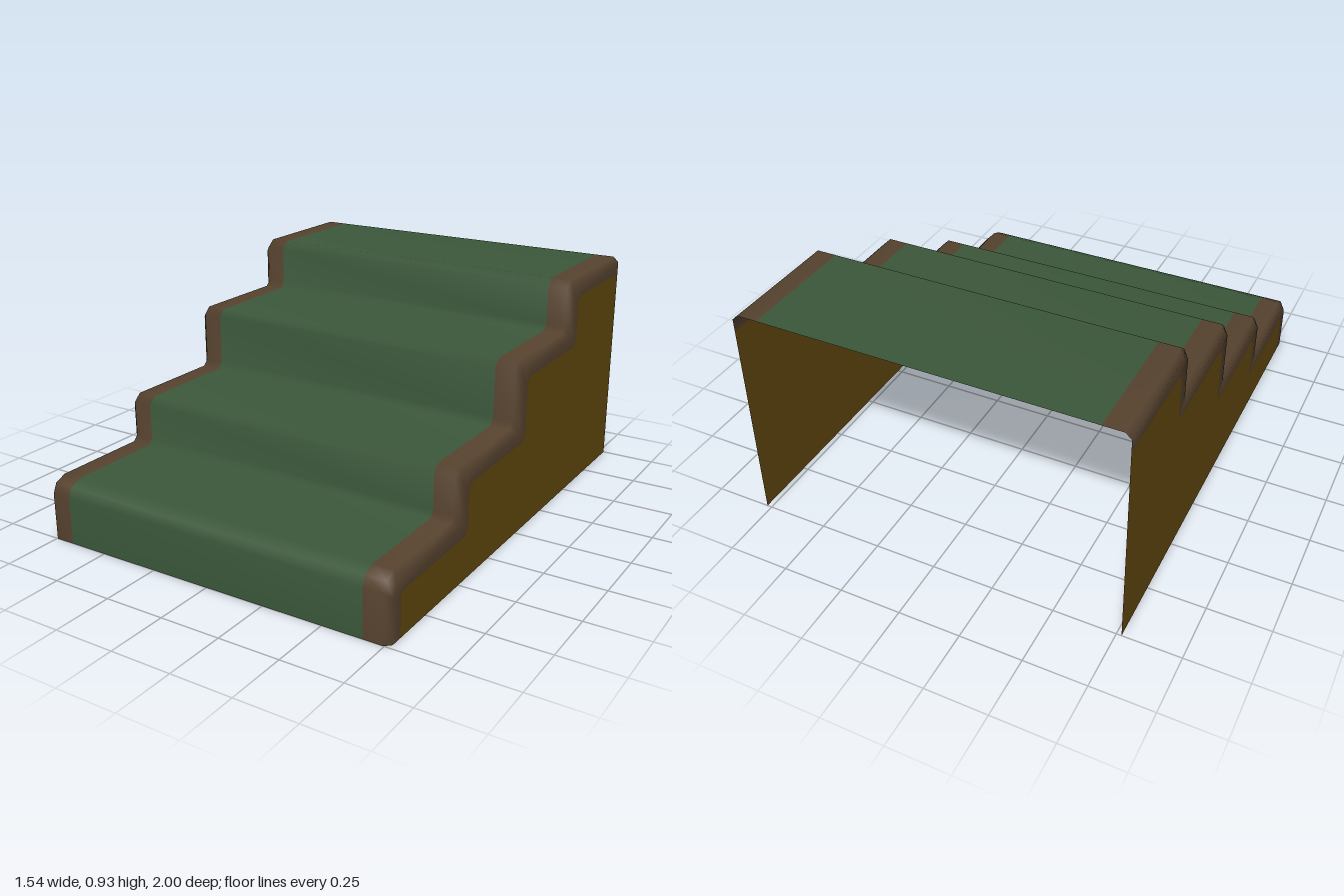
import * as THREE from 'three';

const paint = (name, color) => {
  const m = new THREE.MeshStandardMaterial({ color, side: THREE.DoubleSide });
  m.name = name;
  return m;
};

// Stair outline as [z, y], from the front foot up to the back of the landing
const profile = [
  [1, 0], [1, 0.195], [0.982, 0.235], [0.935, 0.255],
  [0.53, 0.255], [0.51, 0.278], [0.51, 0.425], [0.478, 0.455],
  [0.05, 0.455], [0.025, 0.48], [0.025, 0.69], [-0.003, 0.717],
  [-0.44, 0.717], [-0.463, 0.74], [-0.463, 0.9], [-0.5, 0.93],
  [-1, 0.93],
];
const INSET = 0.075;
// The inner edge of the trim has a tighter front corner
const tightCorner = { 1: [0.925, 0.16], 2: [0.922, 0.172], 3: [0.9, 0.176] };

// Outline moved inward, keeping the foot on the floor and the back flush
function outline(d) {
  return profile.map(([z, y], j) => {
    if (d === INSET && tightCorner[j]) return tightCorner[j];
    return [j === profile.length - 1 ? z : z - d, j === 0 ? 0 : y - d];
  });
}

// Cross-section columns [x, inset]: side trim, bevel, top trim, carpet, mirrored
const half = [[0.77, INSET], [0.77, 0.022], [0.747, 0], [0.665, 0]];
const columns = [
  ...half.map(([x, d]) => [-x, d]),
  ...half.slice().reverse(),
];

// Indices of the skin between two columns
function stripIndex(from, to) {
  const n = profile.length, index = [];
  for (let i = from; i < to; i++) {
    for (let j = 0; j < n - 1; j++) {
      const a = i * n + j, b = a + n;
      index.push(a, b, a + 1, b, b + 1, a + 1);
    }
  }
  return index;
}

export function createModel() {
  const green = paint('green carpet', 0x3c583b);
  const brown = paint('brown trim', 0x57432f);
  const ochre = paint('ochre wood', 0x674c0f);
  const model = new THREE.Group();
  model.name = 'steps';
  const add = (name, geometry, material) => {
    const mesh = new THREE.Mesh(geometry, material);
    mesh.name = name;
    model.add(mesh);
  };

  // One smooth skin, so shading runs on across the colour seams
  const positions = columns.flatMap(([x, d]) => outline(d).flatMap(([z, y]) => [x, y, z]));
  const skin = new THREE.BufferGeometry();
  skin.setAttribute('position', new THREE.Float32BufferAttribute(positions, 3));
  skin.setIndex(stripIndex(0, columns.length - 1));
  skin.computeVertexNormals();

  const strips = [['rightTrim', 0, 3, brown], ['carpet', 3, 4, green], ['leftTrim', 4, 7, brown]];
  for (const [name, from, to, material] of strips) {
    const part = skin.clone();
    part.setIndex(stripIndex(from, to));
    add(name, part, material);
  }

  // Flat side panels inside the trim; back and underside stay open
  for (const side of [-1, 1]) {
    const points = [...outline(INSET), [-1, 0]].map(([z, y]) => new THREE.Vector2(-side * z, y));
    const panel = new THREE.ShapeGeometry(new THREE.Shape(points));
    panel.rotateY(side * Math.PI / 2).translate(side * 0.77, 0, 0);
    add(side < 0 ? 'rightPanel' : 'leftPanel', panel, ochre);
  }
  return model;
}
